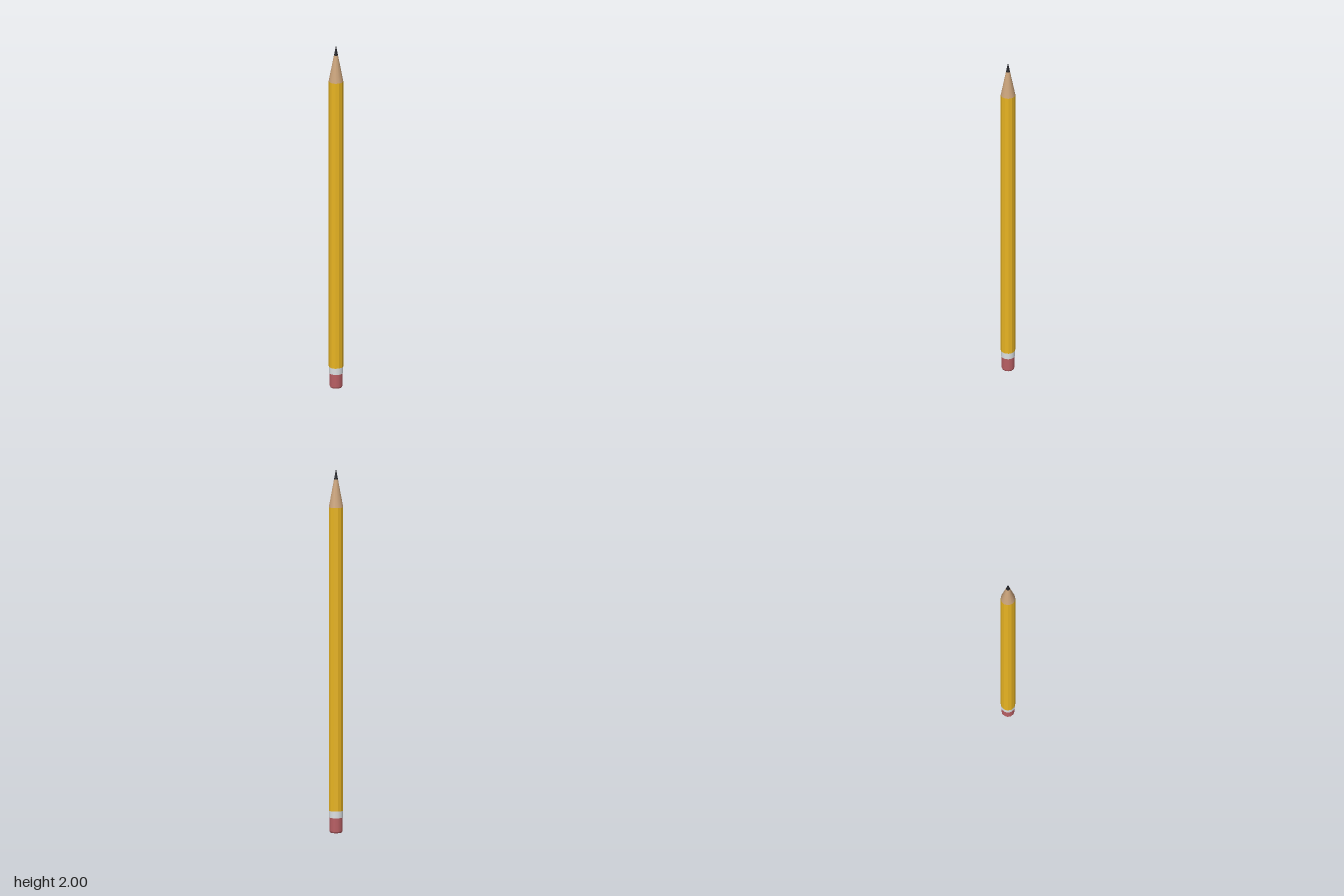
import * as THREE from 'three';

const SIDES = 12;

export function createModel() {
  const pencil = new THREE.Group();
  pencil.name = 'pencil';

  const paint = (name, color, flatShading = false) => {
    const m = new THREE.MeshStandardMaterial({ color, flatShading });
    m.name = name;
    return m;
  };
  const yellow = paint('yellow paint', 0xe8b422, true);
  const wood = paint('bare wood', 0xcba47c);
  const graphite = paint('graphite', 0x25252a);
  const metal = paint('pale metal', 0xdde1e4);
  const rubber = paint('pink rubber', 0xb95f64);

  // Adds a frustum standing between two heights
  const add = (name, material, y0, y1, r0, r1, open = false) => {
    const geo = new THREE.CylinderGeometry(r1, r0, y1 - y0, SIDES, 1, open);
    const mesh = new THREE.Mesh(geo, material);
    mesh.name = name;
    mesh.position.y = (y0 + y1) / 2;
    pencil.add(mesh);
  };

  // Eraser with a slightly bevelled end
  add('eraserEnd', rubber, 0, 0.008, 0.032, 0.036);
  add('eraser', rubber, 0.008, 0.085, 0.036, 0.036, true);

  // Metal band holding the eraser
  add('ferrule', metal, 0.083, 0.12, 0.039, 0.039);

  // Painted shaft
  add('shaft', yellow, 0.12, 1.79, 0.04, 0.04);

  // Sharpened wood and lead share one straight taper
  add('sharpenedWood', wood, 1.79, 1.942, 0.04, 0.011, true);
  add('leadTip', graphite, 1.942, 2, 0.011, 0, true);

  return pencil;
}
